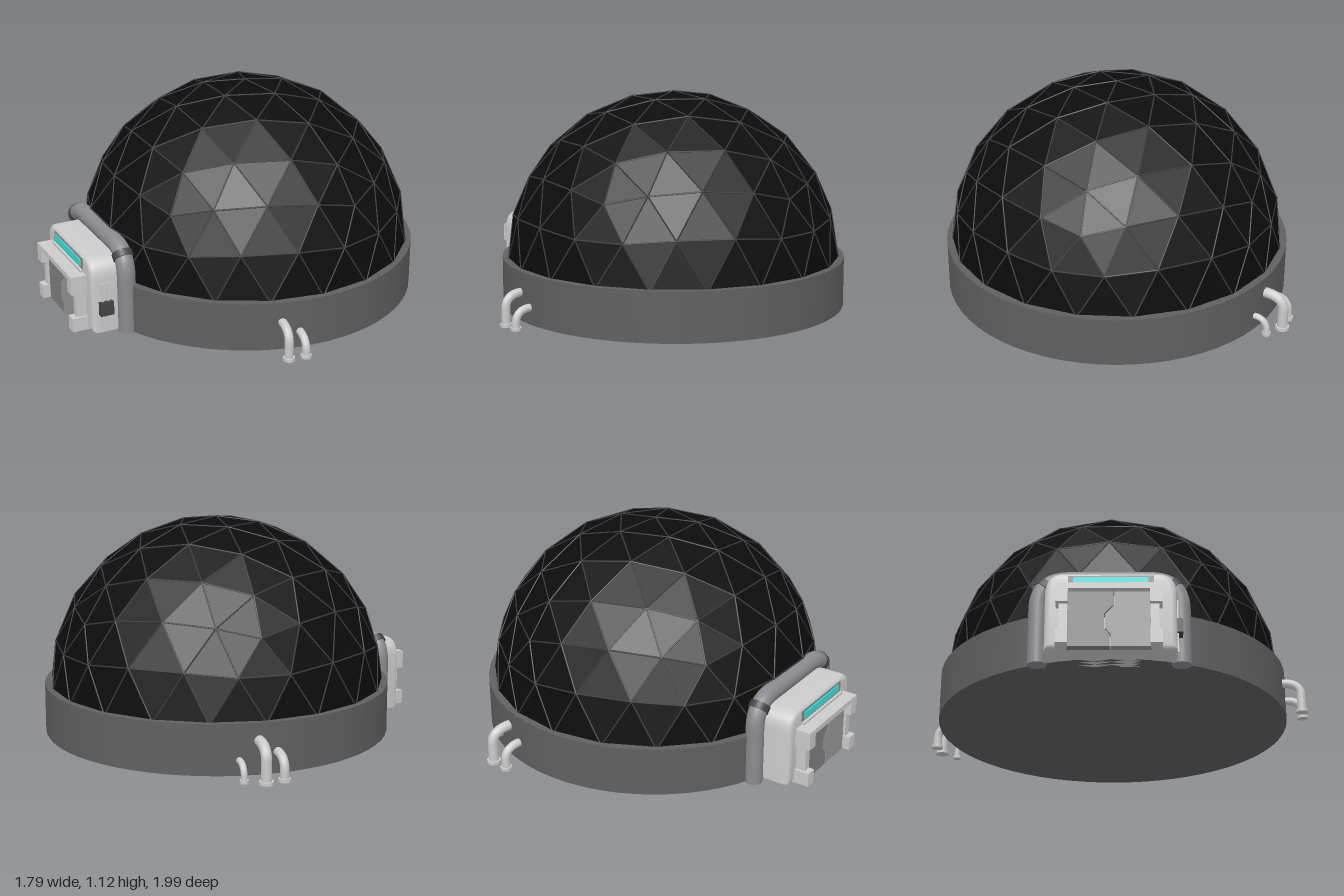
import * as THREE from 'three';
import { mergeGeometries, toCreasedNormals } from 'three/addons/utils/BufferGeometryUtils.js';

const V = (x, y, z) => new THREE.Vector3(x, y, z);
const mat = (color, extra = {}) => new THREE.MeshStandardMaterial({ color, ...extra });
const grey = mat(0xcccccc);
const ringGrey = mat(0x606060);
const pipeGrey = mat(0x8a8a90);
const dark = mat(0x444448);

function add(parent, name, geometry, material) {
  const mesh = new THREE.Mesh(geometry, material);
  mesh.name = name;
  parent.add(mesh);
  return mesh;
}

// Box given by its minimum and maximum on each axis
function box(parent, name, [x0, x1], [y0, y1], [z0, z1], material) {
  const mesh = add(parent, name, new THREE.BoxGeometry(x1 - x0, y1 - y0, z1 - z0), material);
  mesh.position.set((x0 + x1) / 2, (y0 + y1) / 2, (z0 + z1) / 2);
  return mesh;
}

// Upper half of a four-frequency geodesic sphere, one vertex at the top
function domeGeometry(radius) {
  const full = new THREE.IcosahedronGeometry(radius, 3);
  full.rotateZ(-Math.atan(2 / (1 + Math.sqrt(5))));
  const p = full.attributes.position;
  const kept = [];
  for (let i = 0; i < p.count; i += 3) {
    if (p.getY(i) + p.getY(i + 1) + p.getY(i + 2) < 0.01) continue;
    for (let j = i; j < i + 3; j++) kept.push(p.getX(j), p.getY(j), p.getZ(j));
  }
  const g = new THREE.BufferGeometry();
  g.setAttribute('position', new THREE.Float32BufferAttribute(kept, 3));
  g.computeVertexNormals();
  return g;
}

// Thin rods along every edge of the dome
function strutGeometry(dome, radius) {
  const p = new THREE.EdgesGeometry(dome, 1).attributes.position;
  const rods = [];
  for (let i = 0; i < p.count; i += 2) {
    const a = new THREE.Vector3().fromBufferAttribute(p, i);
    const b = new THREE.Vector3().fromBufferAttribute(p, i + 1);
    rods.push(new THREE.TubeGeometry(new THREE.LineCurve3(a, b), 1, radius, 5));
  }
  return mergeGeometries(rods);
}

// Pipe leaving the ring wall, bending down into a flanged foot
function bentPipe(parent, [sx, sz], [ex, ez], height, r) {
  const group = new THREE.Group();
  group.name = 'servicePipe';
  const k = 0.3;
  const mid = V(sx + (ex - sx) * k, height, sz + (ez - sz) * k);
  const drop = V(ex, height - 0.07, ez);
  const path = new THREE.CurvePath();
  path.add(new THREE.LineCurve3(V(sx, height, sz), mid));
  path.add(new THREE.QuadraticBezierCurve3(mid, V(ex, height, ez), drop));
  path.add(new THREE.LineCurve3(drop, V(ex, 0.005, ez)));
  add(group, 'pipe', new THREE.TubeGeometry(path, 28, r, 12), grey);
  add(group, 'pipeFoot', new THREE.CylinderGeometry(r * 1.35, r * 1.35, 0.016, 16), grey)
    .position.set(ex, 0.008, ez);
  parent.add(group);
}

function createEntrance() {
  const g = new THREE.Group();
  g.name = 'entrance';

  // Porch body with rounded upper corners and a bevelled front
  const s = new THREE.Shape();
  s.moveTo(-0.305, 0.015);
  s.lineTo(0.3, 0.015);
  s.lineTo(0.3, 0.3);
  s.quadraticCurveTo(0.3, 0.4, 0.21, 0.4);
  s.lineTo(-0.215, 0.4);
  s.quadraticCurveTo(-0.305, 0.4, -0.305, 0.3);
  s.closePath();
  const body = new THREE.ExtrudeGeometry(s, {
    depth: 0.18, bevelThickness: 0.025, bevelSize: 0.025, bevelOffset: -0.025,
    bevelSegments: 3, curveSegments: 8,
  });
  body.translate(0, 0, 0.795);
  add(g, 'porchBody', toCreasedNormals(body, 0.6), grey);

  // Light strip in its surround
  box(g, 'lightSurround', [-0.2, 0.195], [0.322, 0.382], [0.98, 1.002], pipeGrey);
  box(g, 'lightStrip', [-0.175, 0.17], [0.335, 0.372], [0.98, 1.008], mat(0x40e0d8));
  box(g, 'lightSill', [-0.2, 0.195], [0.312, 0.324], [0.98, 1.015], grey);

  // Door frame: lintel and two stepped posts
  box(g, 'lintel', [-0.252, 0.232], [0.282, 0.31], [0.98, 1.078], grey);
  for (const side of [-1, 1]) {
    const span = (a, b) => [a * side - 0.01, b * side - 0.01].sort((m, n) => m - n);
    box(g, 'doorPost', span(0.188, 0.228), [0.015, 0.3], [0.98, 1.052], grey);
    box(g, 'upperBracket', span(0.186, 0.242), [0.215, 0.305], [0.98, 1.08], grey);
    box(g, 'lowerBracket', span(0.186, 0.242), [0.012, 0.085], [0.98, 1.08], grey);
  }

  // Two door leaves meeting at a stepped seam
  const seam = [[0.012, 0.285], [0.012, 0.215], [-0.03, 0.17], [-0.03, 0.1], [-0.005, 0.07], [-0.005, 0.01]];
  for (const side of [-1, 1]) {
    const pts = seam.map(([x, y]) => new THREE.Vector2(x + side * 0.003, y));
    const edge = side * 0.19 - 0.01;
    pts.push(new THREE.Vector2(edge, 0.01), new THREE.Vector2(edge, 0.285));
    const leaf = new THREE.ExtrudeGeometry(new THREE.Shape(pts), { depth: 0.04, bevelEnabled: false });
    leaf.translate(0, 0, 1.0);
    add(g, side < 0 ? 'rightDoorLeaf' : 'leftDoorLeaf', leaf, mat(side < 0 ? 0x808080 : 0x989898));
  }

  // Thick seal pipe arched over the porch, with collars at the corners
  const cx = -0.01, z = 0.825, w = 0.335, top = 0.44;
  const line = (a, b) => new THREE.LineCurve3(a, b);
  const corner = (m) => [V(cx + m * w, 0.3, z), V(cx + m * w, top, z), V(cx + m * 0.19, top, z)];
  const L = corner(-1), R = corner(1);
  const arch = new THREE.CurvePath();
  arch.add(line(V(cx - w, 0.015, z), L[0]));
  arch.add(new THREE.QuadraticBezierCurve3(...L));
  arch.add(line(L[2], R[2]));
  arch.add(new THREE.QuadraticBezierCurve3(R[2], R[1], R[0]));
  arch.add(line(R[0], V(cx + w, 0.015, z)));
  add(g, 'sealPipe', new THREE.TubeGeometry(arch, 80, 0.046, 16), pipeGrey);
  for (const m of [-1, 1]) {
    const c = new THREE.QuadraticBezierCurve3(...corner(m));
    const collar = add(g, 'pipeCollar', new THREE.CylinderGeometry(0.052, 0.052, 0.035, 16), dark);
    collar.position.copy(c.getPoint(0.5));
    collar.quaternion.setFromUnitVectors(V(0, 1, 0), c.getTangent(0.5));
    add(g, 'pipeEnd', new THREE.CylinderGeometry(0.046, 0.046, 0.01, 16), pipeGrey)
      .position.set(cx + m * w, 0.015, z);
  }

  // Conduits and clamp on the left flank
  for (const cz of [0.915, 0.945]) {
    box(g, 'conduit', [0.29, 0.308], [0.02, 0.28], [cz - 0.008, cz + 0.008], grey);
  }
  box(g, 'conduitClamp', [0.29, 0.328], [0.115, 0.185], [0.895, 0.965], dark);
  return g;
}

export function createModel() {
  const model = new THREE.Group();
  model.name = 'domeHabitat';

  // Foundation ring, dome and entrance share one centre
  const habitat = new THREE.Group();
  habitat.name = 'habitat';
  habitat.position.set(-0.008, 0, -0.11);
  model.add(habitat);

  add(habitat, 'foundationRing', new THREE.CylinderGeometry(0.89, 0.89, 0.25, 64), ringGrey)
    .position.y = 0.14;

  const dome = domeGeometry(0.862);
  add(habitat, 'domePanels', dome, mat(0x0c0c0c, { flatShading: true, side: THREE.DoubleSide }))
    .position.y = 0.25;
  add(habitat, 'domeStruts', strutGeometry(dome, 0.004), mat(0x3c3c40)).position.y = 0.25;

  const entrance = createEntrance();
  entrance.rotation.y = -THREE.MathUtils.degToRad(17);
  habitat.add(entrance);

  // Service pipes: a pair on one side, three on the other
  const pipes = [
    [[0.75, 0.275], [0.86, 0.325], 0.1, 0.02],
    [[0.7, 0.35], [0.822, 0.405], 0.16, 0.022],
    [[-0.72, -0.575], [-0.825, -0.64], 0.12, 0.022],
    [[-0.66, -0.64], [-0.783, -0.725], 0.18, 0.026],
    [[-0.61, -0.72], [-0.693, -0.775], 0.09, 0.016],
  ];
  for (const p of pipes) bentPipe(model, ...p);

  return model;
}
